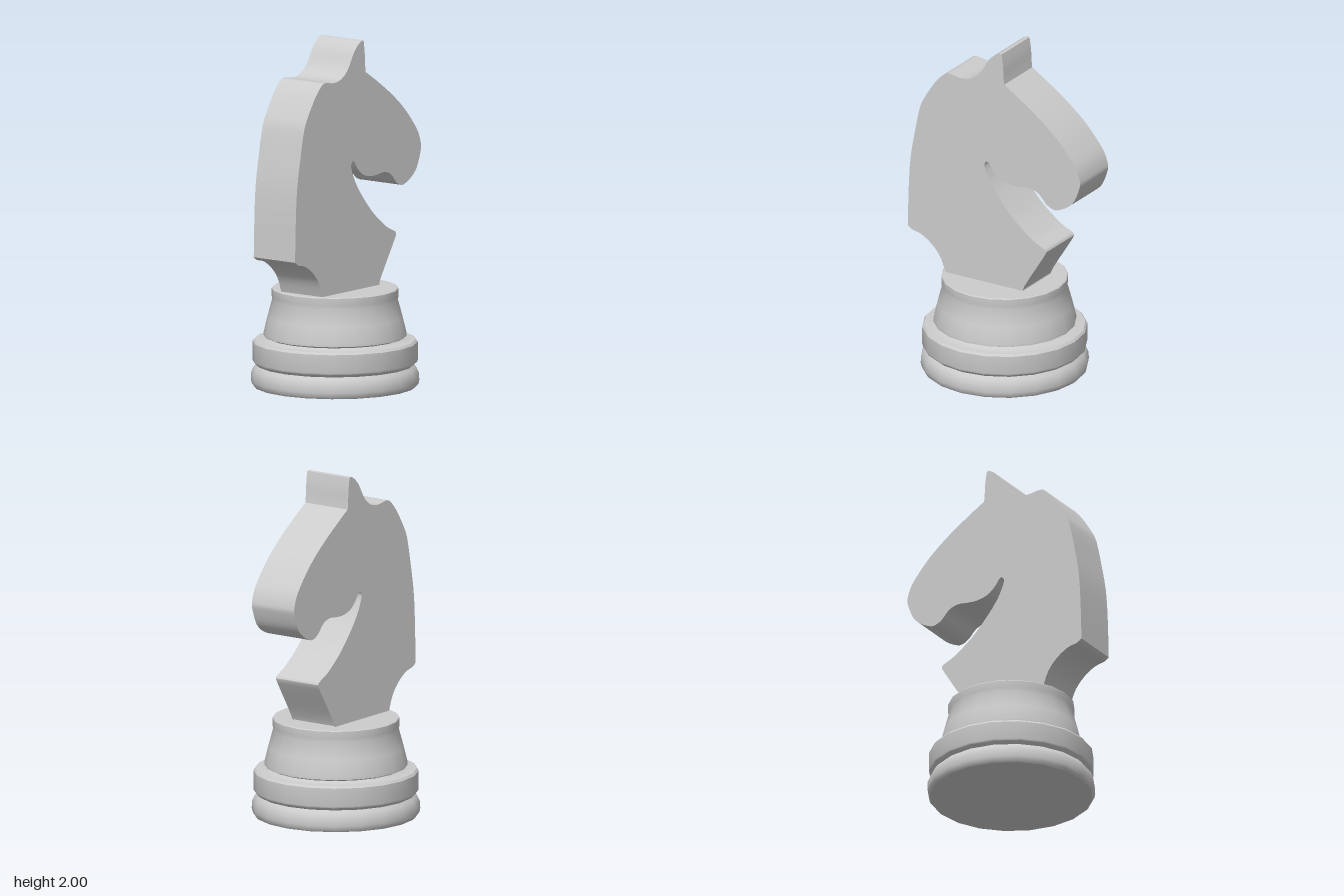
import * as THREE from 'three';
import { toCreasedNormals } from 'three/addons/utils/BufferGeometryUtils.js';

// Horse outline, as smooth runs that meet at sharp corners
const outline = [
  // chest
  [[0.2, 0.56], [0.205, 0.6], [0.335, 0.81], [0.347, 0.845], [0.325, 0.863], [0.26, 0.895], [0.15, 0.98],
   [0.06, 1.075], [-0.01, 1.165], [-0.05, 1.24], [-0.065, 1.29], [-0.05, 1.313]],
  // mouth, jaw, muzzle and forehead
  [[-0.05, 1.313], [-0.033, 1.305], [0, 1.26], [0.05, 1.222], [0.12, 1.205], [0.18, 1.207], [0.24, 1.212],
   [0.3, 1.192], [0.35, 1.14], [0.395, 1.117], [0.43, 1.12], [0.49, 1.15], [0.54, 1.2], [0.575, 1.29],
   [0.577, 1.33], [0.555, 1.395], [0.51, 1.46], [0.42, 1.56], [0.3, 1.66], [0.17, 1.75], [0.068, 1.815]],
  // ear front
  [[0.068, 1.815], [0.064, 1.86], [0.06, 1.93], [0.05, 1.997]],
  // ear back, crest and mane
  [[0.05, 1.997], [0.035, 2.0], [0, 1.98], [-0.04, 1.938], [-0.08, 1.87], [-0.12, 1.825], [-0.17, 1.797],
   [-0.23, 1.79], [-0.3, 1.8], [-0.34, 1.785], [-0.4, 1.72], [-0.47, 1.61], [-0.5, 1.54], [-0.53, 1.4],
   [-0.56, 1.23], [-0.573, 1.05], [-0.58, 0.8]],
  // nape
  [[-0.58, 0.8], [-0.55, 0.78], [-0.49, 0.765], [-0.42, 0.72], [-0.36, 0.65], [-0.325, 0.56]],
];

// Turned base, radius and height
const baseProfile = [
  [0, 0], [0.465, 0], [0.475, 0.012], [0.48, 0.035], [0.478, 0.075], [0.465, 0.105], [0.448, 0.123],
  [0.468, 0.14], [0.471, 0.15], [0.471, 0.255], [0.46, 0.268], [0.4, 0.27], [0.385, 0.28],
  [0.408, 0.29], [0.408, 0.305], [0.385, 0.4], [0.358, 0.5], [0.362, 0.52], [0.362, 0.562], [0.357, 0.567], [0, 0.567],
];

export function createModel() {
  const group = new THREE.Group();
  const grey = new THREE.MeshStandardMaterial({ color: 0xcccccc });
  grey.name = 'lightGrey';

  const add = (name, geometry, crease) => {
    const mesh = new THREE.Mesh(toCreasedNormals(geometry, crease), grey);
    mesh.name = name;
    group.add(mesh);
    return mesh;
  };

  // Twenty-sided base, set slightly off centre under the head
  const profile = baseProfile.map(([r, y]) => new THREE.Vector2(r, y));
  add('base', new THREE.LatheGeometry(profile, 20), 0.6).position.x = -0.022;

  // Flat horse head
  const points = outline.flatMap((run) => {
    const curve = new THREE.SplineCurve(run.map(([x, y]) => new THREE.Vector2(x, y)));
    return curve.getPoints((run.length - 1) * 3).slice(0, -1);
  });
  points.push(new THREE.Vector2(-0.325, 0.56));
  const depth = 0.3;
  const head = new THREE.ExtrudeGeometry(new THREE.Shape(points), { depth, bevelEnabled: false });
  head.translate(0, 0, -depth / 2);
  add('horseHead', head, 0.5);

  return group;
}
